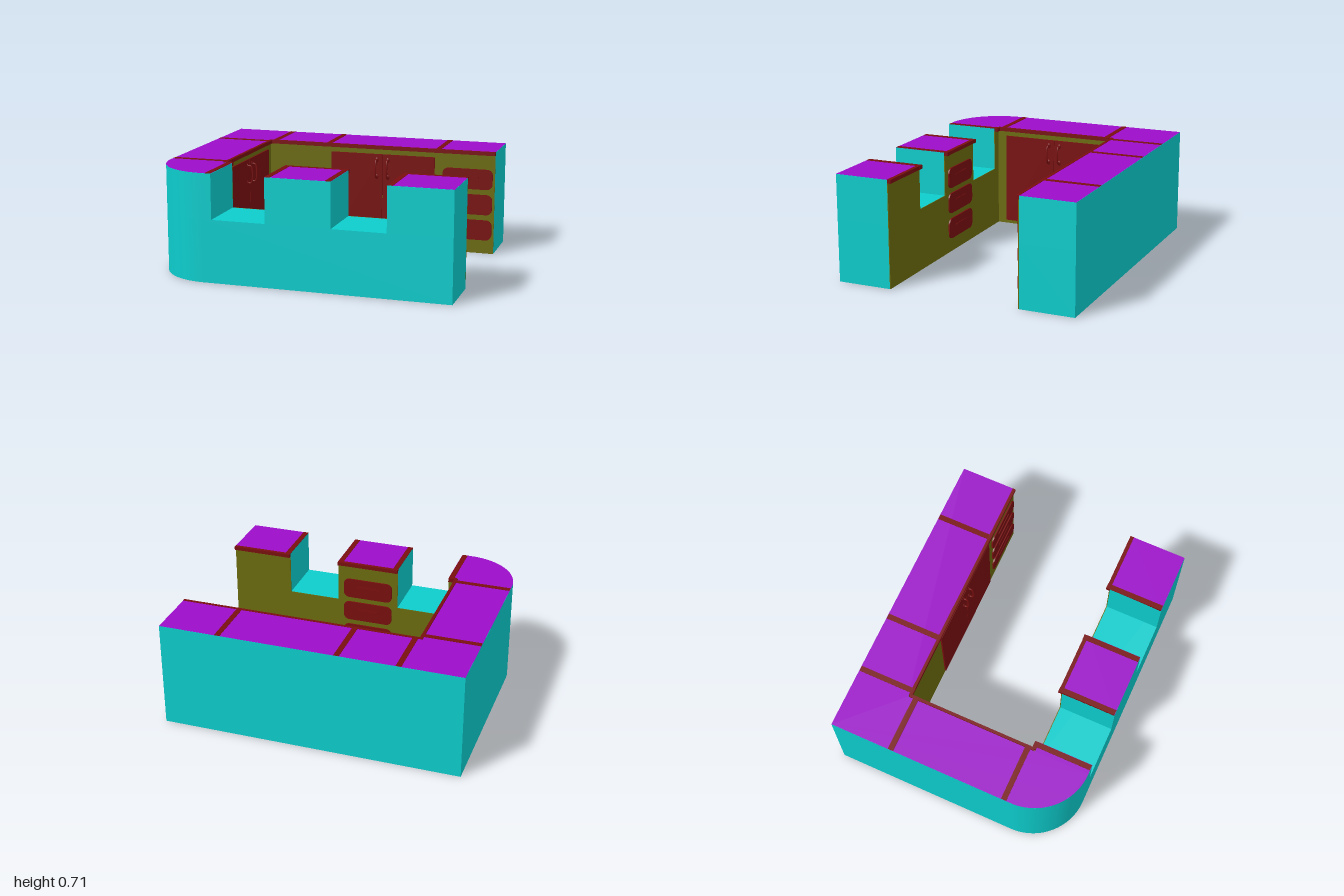
import * as THREE from 'three';
import { toCreasedNormals } from 'three/addons/utils/BufferGeometryUtils.js';

const mat = (color) => new THREE.MeshStandardMaterial({ color });
const M = { body: mat(0x0dcccc), top: mat(0x9b0cc8), panel: mat(0x6b6b0e), red: mat(0x780e0e) };

const TOP = 0.712, SILL = 0.415; // counter height, hatch sill height
const OX = 1, OZ = 0.81;         // outer half sizes
const IX = -0.632, IZ = 0.445;   // inner faces of the U
const R = 0.37;                  // rounded corner

function add(parent, name, geometry, material) {
  const mesh = new THREE.Mesh(geometry, material);
  mesh.name = name;
  parent.add(mesh);
  return mesh;
}

// box given by its min and max corners
function box(parent, name, material, x0, x1, y0, y1, z0, z1) {
  const mesh = add(parent, name, new THREE.BoxGeometry(x1 - x0, y1 - y0, z1 - z0), material);
  mesh.position.set((x0 + x1) / 2, (y0 + y1) / 2, (z0 + z1) / 2);
  return mesh;
}

// U-shaped plan (shape y = -z) whose front arm ends at x = end
function planShape(end) {
  const s = new THREE.Shape();
  s.moveTo(end, -OZ);
  s.lineTo(end, -IZ);
  s.lineTo(IX, -IZ);
  s.lineTo(IX, IZ);
  s.lineTo(OX, IZ);
  s.lineTo(OX, OZ);
  s.lineTo(-OX, OZ);
  s.lineTo(-OX, -OZ + R);
  s.absarc(-OX + R, -OZ + R, R, Math.PI, Math.PI * 1.5, false);
  s.closePath();
  return s;
}

function rectShape(x0, x1) {
  return new THREE.Shape([[x0, -OZ], [x1, -OZ], [x1, -IZ], [x0, -IZ]].map(p => new THREE.Vector2(...p)));
}

function slab(parent, name, shape, y0, y1) {
  const g = new THREE.ExtrudeGeometry(shape, { depth: y1 - y0, bevelEnabled: false, curveSegments: 24 });
  g.rotateX(-Math.PI / 2).translate(0, y0, 0);
  add(parent, name, toCreasedNormals(g, 0.5), M.body);
}

// C-shaped pull with a flat pad at each end; faces +z, standing on z = 0
function pullHandle() {
  const group = new THREE.Group();
  group.name = 'doorHandle';
  const path = new THREE.CatmullRomCurve3([
    [0, -0.06, 0], [0, -0.06, 0.022], [0, -0.045, 0.032],
    [0, 0.045, 0.032], [0, 0.06, 0.022], [0, 0.06, 0]
  ].map(p => new THREE.Vector3(...p)), false, 'centripetal');
  add(group, 'handleBar', new THREE.TubeGeometry(path, 24, 0.006, 8), M.red);
  for (const s of [-1, 1]) {
    const pad = add(group, 'handlePad', new THREE.SphereGeometry(1, 12, 8), M.red);
    pad.scale.set(0.012, 0.018, 0.007);
    pad.position.y = s * 0.06;
  }
  return group;
}

// two doors with handles, centred on x = 0, facing +z
function doubleDoor(halfWidth) {
  const group = new THREE.Group();
  group.name = 'doubleDoor';
  for (const s of [-1, 1]) {
    const a = s * 0.0015, b = s * halfWidth;
    box(group, 'door', M.red, Math.min(a, b), Math.max(a, b), 0.025, 0.655, -0.002, 0.01);
    const handle = pullHandle();
    handle.position.set(s * 0.04, 0.555, 0.01);
    group.add(handle);
  }
  return group;
}

// three rounded drawer fronts, facing +z
function drawerStack(width) {
  const group = new THREE.Group();
  group.name = 'drawerStack';
  const w = width / 2, h = 0.07, r = 0.04;
  const s = new THREE.Shape();
  s.absarc(w - r, h - r, r, 0, Math.PI / 2);
  s.absarc(-w + r, h - r, r, Math.PI / 2, Math.PI);
  s.absarc(-w + r, -h + r, r, Math.PI, Math.PI * 1.5);
  s.absarc(w - r, -h + r, r, Math.PI * 1.5, Math.PI * 2);
  for (const y of [0.165, 0.343, 0.52]) {
    const g = new THREE.ExtrudeGeometry(s, { depth: 0.01, bevelEnabled: false, curveSegments: 6 });
    add(group, 'drawerFront', g, M.red).position.y = y;
    box(group, 'drawerPull', M.red, -0.08, 0.08, y + 0.01, y + 0.018, 0.009, 0.014);
  }
  return group;
}

export function createModel() {
  const model = new THREE.Group();
  model.name = 'counter';

  // cabinet body: full U below the sill, then the parts between the hatches
  const blocks = [
    ['mainCounter', planShape(-0.565)],
    ['middleBlock', rectShape(-0.205, 0.228)],
    ['endBlock', rectShape(0.585, OX)]
  ];
  slab(model, 'baseBody', planShape(OX), 0, SILL);
  for (const [name, shape] of blocks) {
    slab(model, name, shape, SILL, TOP);
    const g = new THREE.ShapeGeometry(shape, 24).rotateX(-Math.PI / 2);
    add(model, name + 'Worktop', g, M.top).position.y = TOP + 0.001;
  }

  // inner cladding panels
  const H = 0.69, T = 0.005;
  box(model, 'backPanel', M.panel, IX, OX, 0, H, -IZ, -IZ + T);
  box(model, 'sidePanel', M.panel, IX, IX + T, 0, H, -IZ, IZ);
  const outline = [[IX, 0], [OX, 0], [OX, H], [0.585, H], [0.585, SILL], [0.228, SILL], [0.228, H],
    [-0.205, H], [-0.205, SILL], [-0.565, SILL], [-0.565, H], [IX, H]];
  const frontShape = new THREE.Shape(outline.map(p => new THREE.Vector2(...p)));
  add(model, 'frontPanel', new THREE.ExtrudeGeometry(frontShape, { depth: T, bevelEnabled: false }), M.panel)
    .position.z = IZ - T;

  // trim along the inner worktop edges
  const trim = (x0, x1, z0, z1) => box(model, 'worktopTrim', M.red, x0, x1, H, 0.715, z0, z1);
  trim(-0.62, OX, -0.445, -0.425);
  trim(-0.63, -0.61, -0.44, 0.435);
  trim(-0.62, -0.567, 0.42, 0.445);
  trim(-0.205, 0.226, 0.42, 0.445);
  trim(0.587, OX, 0.42, 0.445);

  // dividing strips across the worktop
  for (const x of [-0.585, -0.187, 0.603]) {
    trim(x - 0.018, x + 0.018, -OZ + 0.002, -0.424);
    trim(x - 0.018, x + 0.018, 0.418, OZ - 0.002);
  }
  trim(0.19, 0.226, 0.418, OZ - 0.002);
  for (const s of [-1, 1]) trim(-OX + 0.002, -0.609, s * 0.393 - 0.018, s * 0.393 + 0.018);

  // doors
  const sideDoors = doubleDoor(0.372);
  sideDoors.rotation.y = Math.PI / 2;
  sideDoors.position.x = IX + T;
  const backDoors = doubleDoor(0.373);
  backDoors.position.set(0.205, 0, -IZ + T);

  // drawers
  const backDrawers = drawerStack(0.35);
  backDrawers.position.set(0.81, 0, -IZ + T);
  const frontDrawers = drawerStack(0.35);
  frontDrawers.rotation.y = Math.PI;
  frontDrawers.position.set(0.01, 0, IZ - T);

  model.add(sideDoors, backDoors, backDrawers, frontDrawers);
  return model;
}
